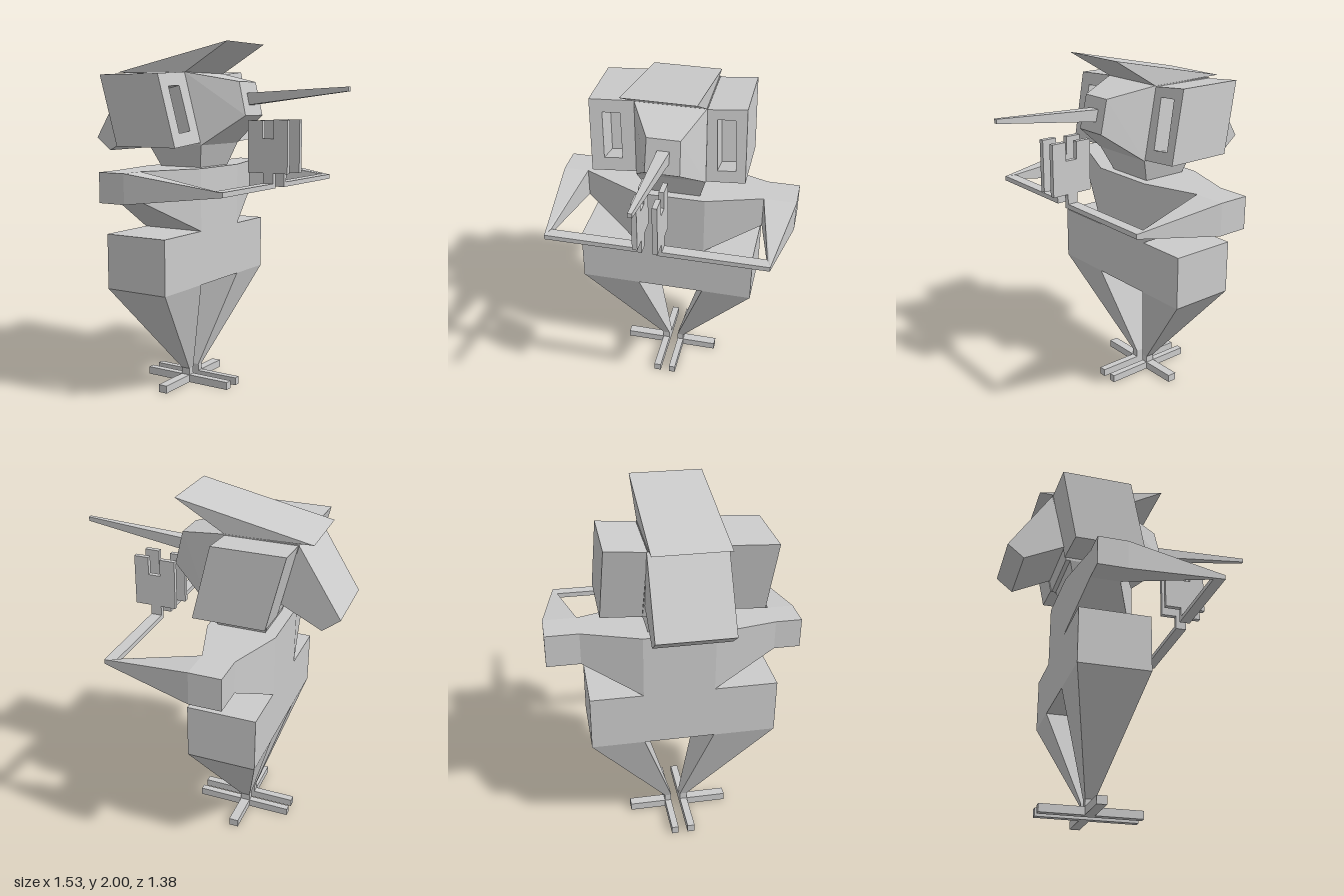
import * as THREE from 'three';

const material = new THREE.MeshStandardMaterial({ color: 0xcccccc, flatShading: true });

// Rectangular cross-sections perpendicular to each axis
const ringX = (x, y0, y1, z0, z1) => [[x, y0, z0], [x, y1, z0], [x, y1, z1], [x, y0, z1]];
const ringY = (y, x0, x1, z0, z1) => [[x0, y, z0], [x1, y, z0], [x1, y, z1], [x0, y, z1]];
const ringZ = (z, x0, x1, y0, y1) => [[x0, y0, z], [x1, y0, z], [x1, y1, z], [x0, y1, z]];

// Closed faceted solid through four-cornered rings, turned outward by its signed volume
function loft(name, rings) {
  const tris = [];
  const quad = (a, b, c, d) => tris.push([a, b, c], [a, c, d]);
  for (let i = 0; i + 1 < rings.length; i++) {
    for (let j = 0; j < 4; j++) {
      const k = (j + 1) % 4;
      quad(rings[i][j], rings[i][k], rings[i + 1][k], rings[i + 1][j]);
    }
  }
  const first = rings[0];
  quad(first[3], first[2], first[1], first[0]);
  quad(...rings[rings.length - 1]);
  let volume = 0;
  for (const t of tris) {
    const [a, b, c] = t.map((p) => new THREE.Vector3(...p));
    volume += a.dot(b.cross(c));
  }
  if (volume < 0) tris.forEach((t) => t.reverse());
  const geometry = new THREE.BufferGeometry();
  geometry.setAttribute('position', new THREE.Float32BufferAttribute(tris.flat(2), 3));
  geometry.computeVertexNormals();
  const mesh = new THREE.Mesh(geometry, material);
  mesh.name = name;
  return mesh;
}

const block = (name, x0, x1, y0, y1, z0, z1) =>
  loft(name, [ringY(y0, x0, x1, z0, z1), ringY(y1, x0, x1, z0, z1)]);

// Outline in the x-y plane, extruded along z
function slab(name, points, z0, z1) {
  const shape = new THREE.Shape(points.map(([x, y]) => new THREE.Vector2(x, y)));
  const geometry = new THREE.ExtrudeGeometry(shape, { depth: z1 - z0, bevelEnabled: false });
  geometry.translate(0, 0, z0);
  const mesh = new THREE.Mesh(geometry, material);
  mesh.name = name;
  return mesh;
}

// Leg with a long bar foot and one sideways toe; zIn faces the middle
function leg(hipIn, hipOut, zIn, zOut, toe) {
  const g = new THREE.Group();
  g.name = 'leg';
  g.add(
    loft('thigh', [
      ringY(0.64, -0.43, -0.04, hipIn, hipOut),
      ringY(0.085, -0.26, -0.205, zIn, zOut),
      ringY(0.04, -0.26, -0.205, zIn, zOut),
    ]),
    block('foot', -0.505, 0.06, 0, 0.045, zIn, zOut),
    block('sideToe', -0.26, -0.205, 0, 0.045, zOut, toe)
  );
  return g;
}

// Shoulder, tapering upper arm, forearm across the front and a notched flat hand
function arm(p) {
  const g = new THREE.Group();
  g.name = 'arm';
  const { back, front, low, zIn, zOut, e0, e1, wristX, handX, hand } = p;
  const [h0, h1] = hand;
  const near = zIn > 0 ? h0 : h1;
  g.add(
    loft('shoulder', [
      ringZ(p.root, -0.43, -0.04, 0.95, 1.305),
      ringZ(zIn, back, front, low, 1.305),
      ringZ(zOut, back, front, low, 1.305),
    ]),
    loft('upperArm', [
      ringX(front, low, 1.305, zIn, zOut),
      [[wristX, 1.205, e0], [wristX, 1.235, e0], [wristX + 0.063, 1.23, e1], [wristX + 0.063, 1.205, e1]],
    ]),
    block('forearm', wristX, wristX + 0.063, 1.205, 1.232, near, e1),
    block('wrist', wristX, wristX + 0.063, 1.205, 1.3, h0, h1),
    slab('hand', [
      [handX, 1.288], [handX + 0.245, 1.288], [handX + 0.245, 1.58], [handX + 0.16, 1.58],
      [handX + 0.16, 1.477], [handX + 0.09, 1.477], [handX + 0.09, 1.575], [handX, 1.575],
    ], h0, h1)
  );
  return g;
}

// Leaning eye box with a sunken slot; corners are [y, z] pairs around the front
function eye(corners, slot) {
  const frontX = (y) => -0.13 + ((1.835 - y) / 0.4) * 0.09;
  const ring = (pts, dx, dy) => pts.map(([y, z]) => [frontX(y) + dx, y + dy, z]);
  return loft('eye', [
    ring(corners, -0.395, 0), ring(corners, 0, 0), ring(slot, 0, 0), ring(slot, -0.16, -0.036),
  ]);
}

export function createModel() {
  const model = new THREE.Group();
  model.name = 'birdFigure';

  // Lower body and trunk
  model.add(
    block('hips', -0.43, -0.04, 0.64, 0.95, -0.48, 0.56),
    block('torso', -0.43, -0.04, 0.95, 1.305, -0.187, 0.207),
    leg(0.21, 0.56, 0.053, 0.095, 0.33),
    leg(-0.185, -0.48, -0.002, -0.04, -0.25)
  );

  // Arms
  model.add(
    arm({ root: 0.207, back: -0.37, front: -0.205, low: 1.14, zIn: 0.545, zOut: 0.69,
      e0: 0.605, e1: 0.627, wristX: 0.3, handX: 0.205, hand: [0.077, 0.106] }),
    arm({ root: -0.187, back: -0.32, front: -0.14, low: 1.12, zIn: -0.507, zOut: -0.693,
      e0: -0.59, e1: -0.613, wristX: 0.308, handX: 0.22, hand: [-0.035, -0.007] })
  );

  // Neck, skull and tapered muzzle
  model.add(
    loft('neck', [
      ringY(1.3, -0.36, -0.09, -0.15, 0.14),
      ringY(1.435, -0.405, -0.04, -0.188, 0.205),
    ]),
    loft('head', [
      ringY(1.435, -0.43, -0.04, -0.188, 0.205),
      ringY(1.84, -0.53, -0.13, -0.17, 0.232),
    ]),
    loft('muzzle', [
      [[-0.04, 1.435, -0.188], [-0.13, 1.84, -0.17], [-0.13, 1.84, 0.232], [-0.04, 1.435, 0.205]],
      [[0.185, 1.6, -0.09], [0.142, 1.787, -0.085], [0.142, 1.787, 0.097], [0.185, 1.6, 0.1]],
    ]),
    loft('beak', [
      ringX(0.155, 1.657, 1.725, -0.03, 0.037),
      ringX(0.765, 1.73, 1.754, 0.01, 0.032),
    ])
  );

  // Eyes on both sides of the head
  model.add(
    eye([[1.825, 0.488], [1.84, 0.232], [1.45, 0.205], [1.43, 0.46]],
      [[1.76, 0.41], [1.765, 0.308], [1.517, 0.287], [1.507, 0.392]]),
    eye([[1.835, -0.172], [1.855, -0.387], [1.455, -0.408], [1.44, -0.19]],
      [[1.787, -0.228], [1.792, -0.329], [1.517, -0.35], [1.507, -0.249]])
  );

  // Raised flat crest and the swept-back hair
  model.add(
    slab('crest', [[-0.605, 1.845], [-0.13, 1.838], [0.147, 2.0]], -0.168, 0.232),
    slab('backHair', [[-0.53, 1.838], [-0.77, 1.465], [-0.675, 1.39], [-0.445, 1.505]], -0.178, 0.228)
  );
  return model;
}
